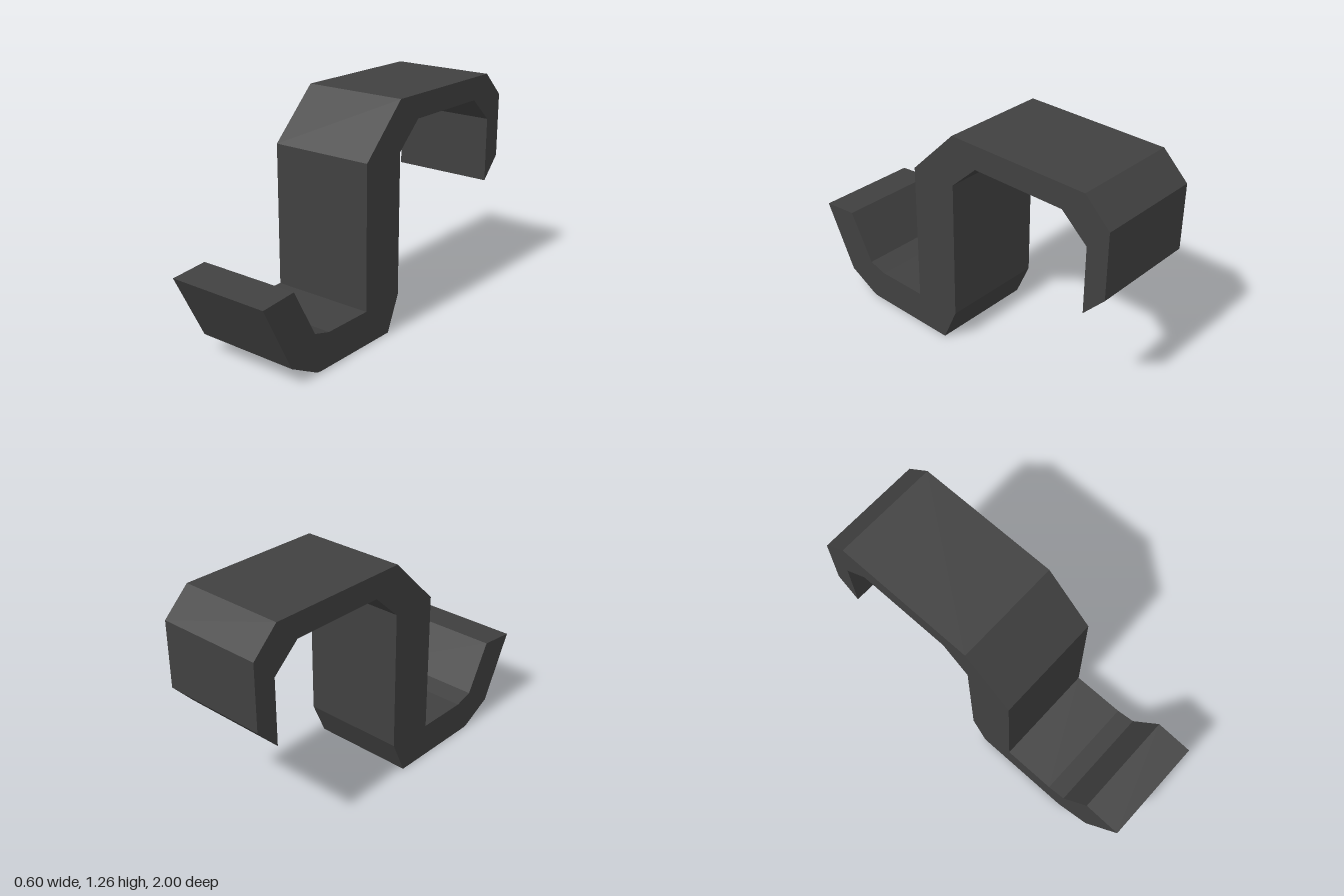
import * as THREE from 'three';

const WIDTH = 0.6;

// Side outline of the hook as [z, y], walked once around
const OUTLINE = [
  // outer edge: front lip, underside, back of the stem
  [1.0, 0.47], [0.815, 0.10], [0.63, 0.003], [0.6, 0], [0.05, 0], [-0.035, 0.195],
  // inside of the upper hook
  [-0.035, 0.985], [-0.19, 1.13], [-0.73, 1.13], [-0.88, 0.995], [-0.88, 0.627],
  // outside of the upper hook
  [-1.0, 0.755], [-1.0, 1.12], [-0.855, 1.26], [-0.035, 1.26], [0.24, 0.985],
  // front of the stem and inside of the lower hook
  [0.24, 0.19], [0.54, 0.19], [0.645, 0.22], [0.79, 0.49],
];

export function createModel() {
  const group = new THREE.Group();
  group.name = 'doubleHook';

  const darkGrey = new THREE.MeshStandardMaterial({ color: 0x404040 });
  darkGrey.name = 'darkGrey';

  // Draw with x = -z, extrude across the width, then turn to face +z
  const shape = new THREE.Shape(OUTLINE.map(([z, y]) => new THREE.Vector2(-z, y)));
  const geometry = new THREE.ExtrudeGeometry(shape, { depth: WIDTH, bevelEnabled: false });
  geometry.translate(0, 0, -WIDTH / 2);
  geometry.rotateY(Math.PI / 2);

  const hook = new THREE.Mesh(geometry, darkGrey);
  hook.name = 'hookBand';
  group.add(hook);
  return group;
}
